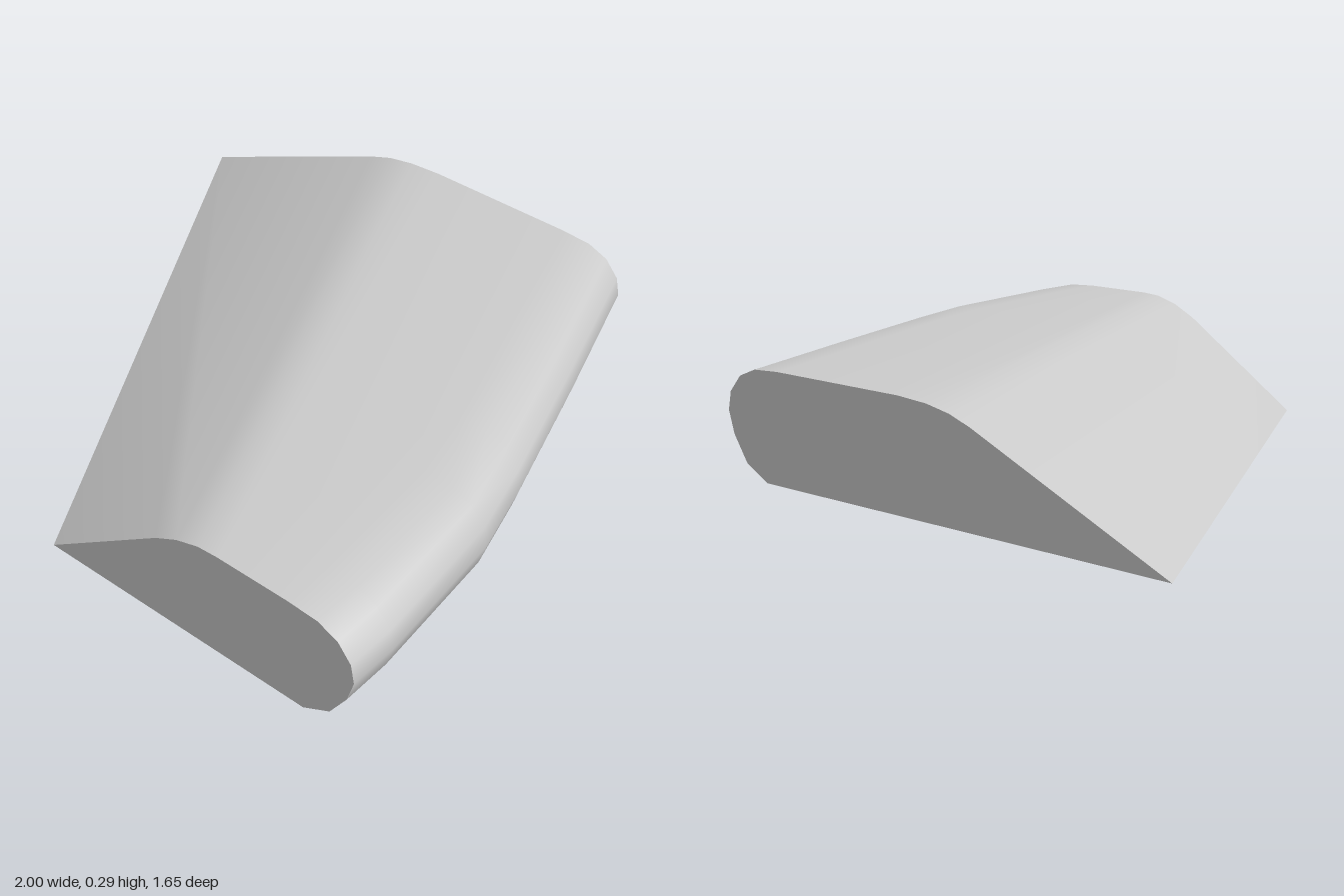
import * as THREE from 'three';
import { ConvexGeometry } from 'three/addons/geometries/ConvexGeometry.js';
import { toCreasedNormals } from 'three/addons/utils/BufferGeometryUtils.js';

// Rounded nose: [offset from the tip in x, y]
const nose = [
  [-0.15, 0], [-0.07, 0.04], [-0.02, 0.11], [0, 0.17], [-0.01, 0.22],
  [-0.05, 0.265], [-0.11, 0.288], [-0.2, 0.293],
];

// Tip of the nose along the length: [x, z]
const tips = [
  [0.52, -0.825], [0.685, -0.4], [0.845, 0.03], [0.922, 0.26], [0.99, 0.68], [1, 0.825],
];

// Sloping thin edge and shoulder at both ends: [x, y]
const backSlope = [[-1, 0], [-0.38, 0.25], [-0.31, 0.273], [-0.23, 0.287], [-0.13, 0.293]];
const frontSlope = [[0.01, 0], [0.38, 0.235], [0.45, 0.269], [0.52, 0.289], [0.58, 0.293]];

export function createModel() {
  const group = new THREE.Group();
  group.name = 'wedgeBlock';

  const points = [];
  for (const [x, y] of backSlope) points.push(new THREE.Vector3(x, y, -0.825));
  for (const [x, y] of frontSlope) points.push(new THREE.Vector3(x, y, 0.825));
  for (const [tipX, z] of tips) {
    for (const [dx, y] of nose) points.push(new THREE.Vector3(tipX + dx, y, z));
  }

  // Skin over the sections, smooth across the curves and sharp at the ends
  const geometry = toCreasedNormals(new ConvexGeometry(points), 0.6);
  const body = new THREE.Mesh(geometry, new THREE.MeshStandardMaterial({ color: 0xcccccc }));
  body.name = 'taperedBody';
  group.add(body);
  return group;
}
